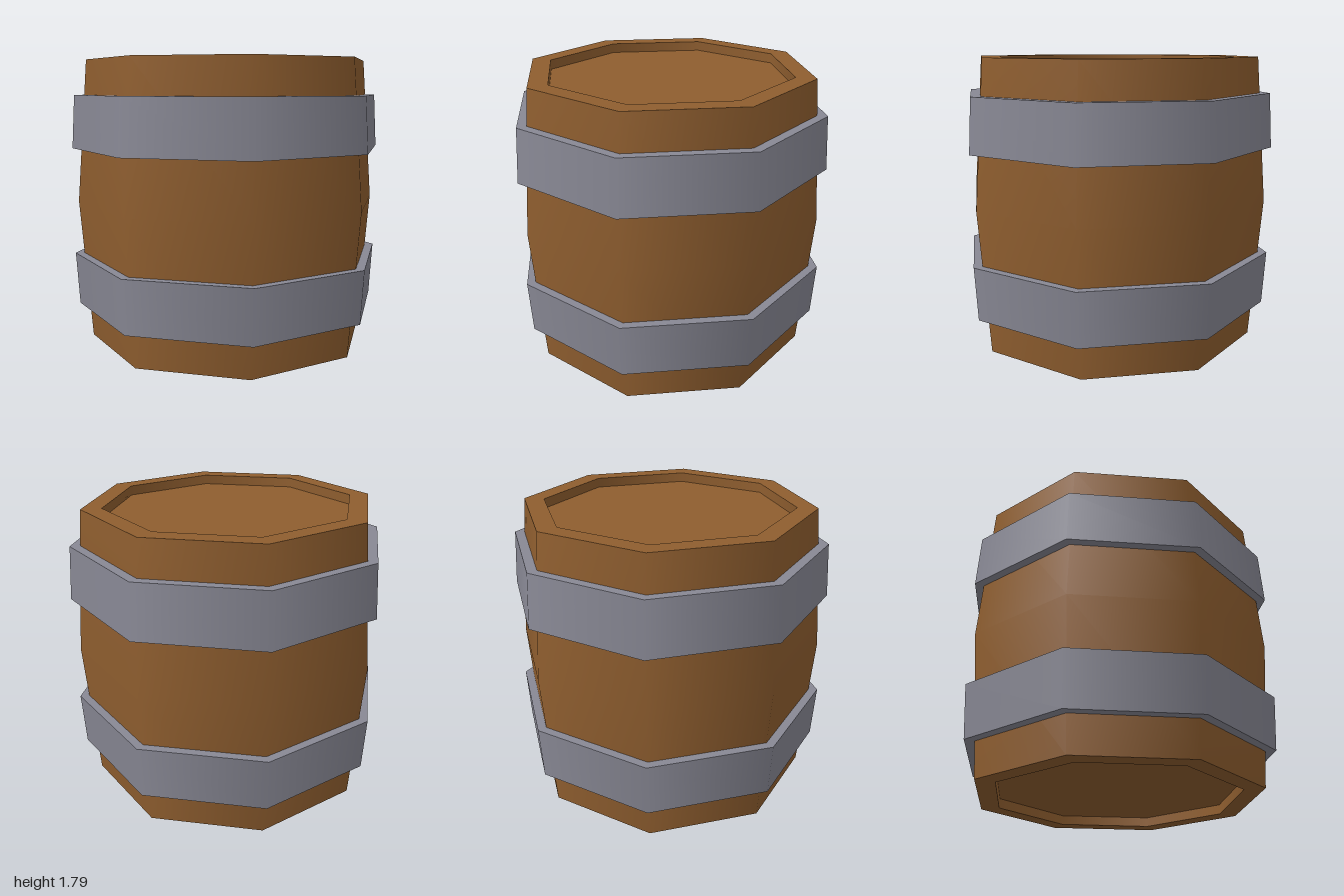
import * as THREE from 'three';

const SIDES = 8, H = 1.79, MID = H / 2;
const R_END = 0.9, R_MID = 0.97, R_LID = 0.775, RECESS = 0.06;

// radius of the bulging staves at height y
const staveRadius = (y) => R_MID - (R_MID - R_END) * Math.abs(y - MID) / MID;

export function createModel() {
  const wood = new THREE.MeshStandardMaterial({ color: 0x8f5e2f });
  wood.name = 'brown wood';
  const iron = new THREE.MeshStandardMaterial({ color: 0x888894 });
  iron.name = 'grey iron';

  const barrel = new THREE.Group();
  barrel.name = 'barrel';

  // one octagonal strip, smooth within itself and sharp against its neighbours
  const strip = (parent, name, material, profile) => {
    const points = profile.map(([r, y]) => new THREE.Vector2(r, y));
    const mesh = new THREE.Mesh(new THREE.LatheGeometry(points, SIDES), material);
    mesh.name = name;
    parent.add(mesh);
  };

  // staves
  strip(barrel, 'staves', wood, [[R_END, 0], [R_MID, MID], [R_END, H]]);

  // recessed lid and base
  strip(barrel, 'topRim', wood, [[R_END, H], [R_LID, H]]);
  strip(barrel, 'topRecessWall', wood, [[R_LID, H], [R_LID, H - RECESS]]);
  strip(barrel, 'lid', wood, [[R_LID, H - RECESS], [0, H - RECESS]]);
  strip(barrel, 'base', wood, [[0, RECESS], [R_LID, RECESS]]);
  strip(barrel, 'bottomRecessWall', wood, [[R_LID, RECESS], [R_LID, 0]]);
  strip(barrel, 'bottomRim', wood, [[R_LID, 0], [R_END, 0]]);

  // two tapered hoops, mirrored about the middle
  const hoops = [
    ['lowerHoop', 0.22, 0.98, 0.555, 1.0],
    ['upperHoop', H - 0.555, 1.0, H - 0.22, 0.98],
  ];
  for (const [name, y0, r0, y1, r1] of hoops) {
    const hoop = new THREE.Group();
    hoop.name = name;
    strip(hoop, 'hoopBand', iron, [[r0, y0], [r1, y1]]);
    strip(hoop, 'hoopTopEdge', iron, [[r1, y1], [staveRadius(y1), y1]]);
    strip(hoop, 'hoopBottomEdge', iron, [[staveRadius(y0), y0], [r0, y0]]);
    barrel.add(hoop);
  }
  return barrel;
}
